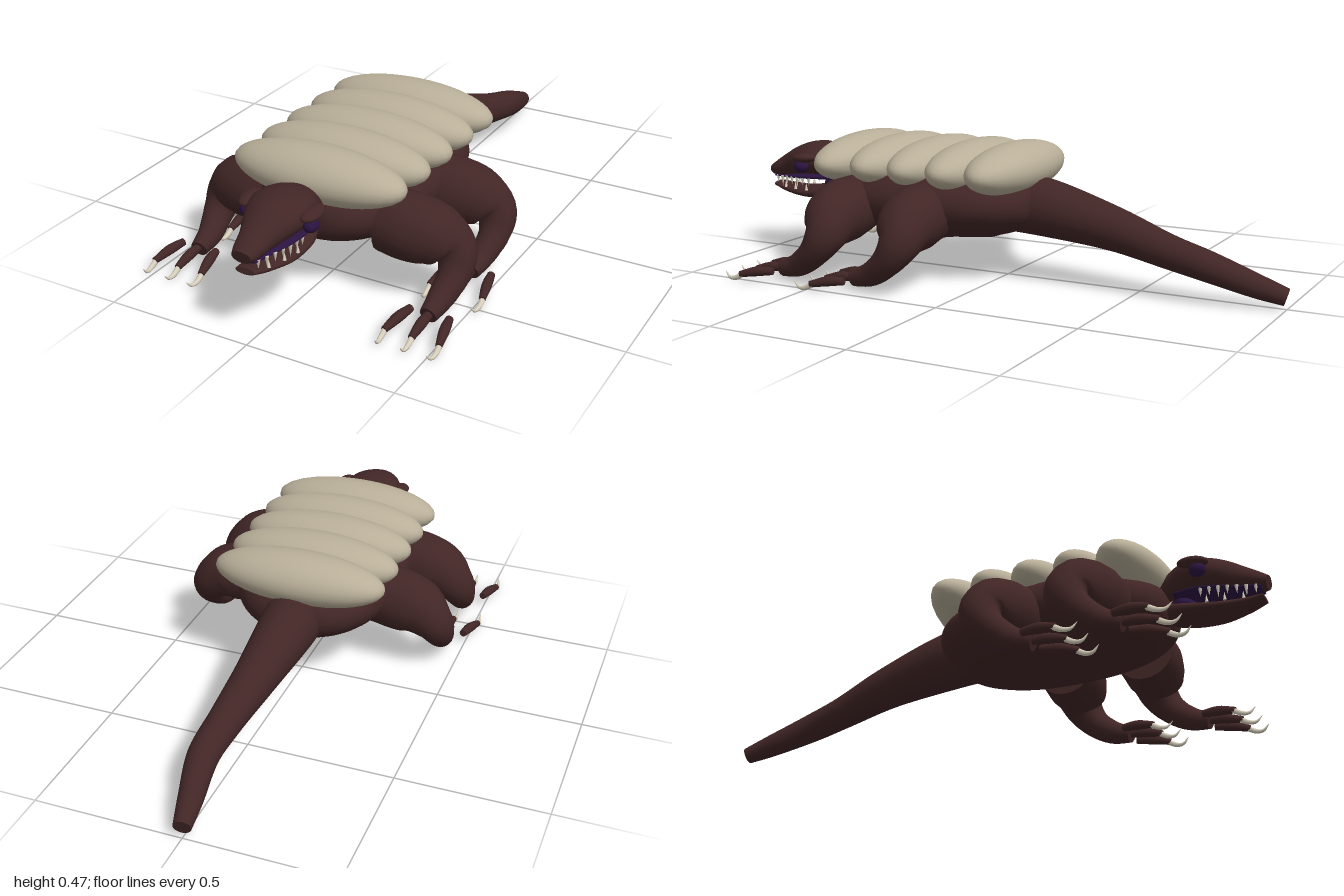
import * as THREE from 'three';

const mat = (name, color) => {
  const m = new THREE.MeshStandardMaterial({ color });
  m.name = name;
  return m;
};

// Smooth tube through rows of [x, y, z, rx, ry], closed at both ends
function sweep(rows, steps = 20, sides = 16, up = new THREE.Vector3(0, 1, 0)) {
  const path = new THREE.CatmullRomCurve3(rows.map(r => new THREE.Vector3(r[0], r[1], r[2])), false, 'catmullrom');
  const radii = new THREE.CatmullRomCurve3(rows.map(r => new THREE.Vector3(r[3], r[4] ?? r[3], 0)), false, 'catmullrom');
  const pos = [], index = [];
  for (let i = 0; i <= steps; i++) {
    const t = i / steps;
    const c = path.getPoint(t), r = radii.getPoint(t), T = path.getTangent(t);
    const S = new THREE.Vector3().crossVectors(up, T).normalize();
    const N = new THREE.Vector3().crossVectors(T, S);
    for (let j = 0; j < sides; j++) {
      const a = (j / sides) * Math.PI * 2;
      const p = c.clone()
        .addScaledVector(S, Math.cos(a) * Math.max(r.x, 0))
        .addScaledVector(N, Math.sin(a) * Math.max(r.y, 0));
      pos.push(p.x, p.y, p.z);
    }
  }
  for (let i = 0; i < steps; i++) {
    for (let j = 0; j < sides; j++) {
      const k = (j + 1) % sides;
      const a = i * sides + j, b = i * sides + k, c = b + sides, d = a + sides;
      index.push(a, b, c, a, c, d);
    }
  }
  // End caps with their own vertices so the rims stay sharp
  for (const end of [0, steps]) {
    const first = pos.length / 3;
    const c = path.getPoint(end / steps);
    pos.push(...pos.slice(end * sides * 3, (end + 1) * sides * 3), c.x, c.y, c.z);
    for (let j = 0; j < sides; j++) {
      const a = first + j, b = first + (j + 1) % sides;
      if (end) index.push(first + sides, a, b);
      else index.push(first + sides, b, a);
    }
  }
  const g = new THREE.BufferGeometry();
  g.setAttribute('position', new THREE.Float32BufferAttribute(pos, 3));
  g.setIndex(index);
  g.computeVertexNormals();
  return g;
}

export function createModel() {
  const hide = mat('dark brown hide', 0x422626);
  const plate = mat('bone shell', 0xb9af99);
  const ivory = mat('ivory', 0xd8d0bd);
  const purple = mat('deep purple', 0x2b1440);

  const model = new THREE.Group();
  model.name = 'armouredReptile';
  const add = (parent, name, geometry, material) => {
    const m = new THREE.Mesh(geometry, material);
    m.name = name;
    parent.add(m);
    return m;
  };
  const ball = (parent, name, material, p, r) => {
    const m = add(parent, name, new THREE.SphereGeometry(1, 32, 20), material);
    m.position.set(...p);
    m.scale.set(...r);
    return m;
  };

  // Blunt-ended barrel body
  const bodyRows = [];
  for (let i = 0; i <= 14; i++) {
    const a = (i / 14 - 0.5) * Math.PI;
    const s = Math.sin(a), c = Math.pow(Math.max(Math.cos(a), 0), 0.75);
    bodyRows.push([0, 0.275, 0.27 + 0.41 * Math.sign(s) * Math.pow(Math.abs(s), 0.85), 0.285 * c, 0.145 * c]);
  }
  add(model, 'body', sweep(bodyRows, 42, 36), hide);

  // Five overlapping back plates
  for (let i = 0; i < 5; i++) {
    ball(model, 'backPlate', plate, [0, 0.389, -0.03 + i * 0.151], [0.306, 0.088, 0.115]);
  }

  // Tail, swaying to one side and drooping to the ground
  add(model, 'tail', sweep([
    [0, 0.045, -0.998, 0.029], [0.016, 0.075, -0.9, 0.04], [0.04, 0.125, -0.75, 0.051],
    [0.03, 0.16, -0.6, 0.058], [0.008, 0.21, -0.4, 0.075], [-0.005, 0.255, -0.15, 0.1],
    [-0.005, 0.27, 0.02, 0.105],
  ], 36, 20), hide);

  // Head
  const head = new THREE.Group();
  head.name = 'head';
  model.add(head);
  add(head, 'skull', sweep([
    [0, 0.335, 0.64, 0.06, 0.045], [0, 0.345, 0.7, 0.082, 0.058], [0, 0.359, 0.75, 0.104, 0.062],
    [0, 0.36, 0.8, 0.106, 0.063], [0, 0.346, 0.86, 0.085, 0.058], [0, 0.326, 0.92, 0.058, 0.046],
    [0, 0.31, 0.97, 0.046, 0.033], [0, 0.303, 1, 0.034, 0.022],
  ], 28, 24), hide);
  add(head, 'lowerJaw', sweep([
    [0, 0.262, 0.66, 0.05, 0.035], [0, 0.244, 0.73, 0.076, 0.03], [0, 0.232, 0.83, 0.074, 0.022],
    [0, 0.237, 0.92, 0.05, 0.017], [0, 0.25, 0.985, 0.034, 0.01],
  ], 20, 20), hide);
  add(head, 'mouthLining', sweep([
    [0, 0.3, 0.7, 0.07, 0.014], [0, 0.297, 0.78, 0.086, 0.013], [0, 0.291, 0.86, 0.074, 0.011],
    [0, 0.286, 0.92, 0.052, 0.009], [0, 0.284, 0.98, 0.036, 0.006],
  ], 20, 20), purple);
  ball(head, 'throat', purple, [0, 0.272, 0.72], [0.055, 0.035, 0.04]);

  for (const s of [1, -1]) {
    ball(head, 'eye', purple, [s * 0.112, 0.342, 0.8], [0.023, 0.023, 0.028]);
    const brow = ball(head, 'brow', hide, [s * 0.108, 0.374, 0.785], [0.032, 0.018, 0.052]);
    brow.rotation.x = 0.08;

    // Teeth follow the jaw outline and shrink toward the back
    for (let i = 0; i < 7; i++) {
      const t = i / 6, z = 0.965 - t * 0.17;
      const x = s * (0.034 + 0.042 * Math.sin(t * Math.PI / 2));
      const size = i % 3 === 1 ? 0.04 : 0.03;
      const fang = add(head, 'upperTooth', new THREE.ConeGeometry(0.007, size, 8), ivory);
      fang.position.set(x, 0.287 - size / 2 + t * 0.006, z);
      fang.rotation.x = Math.PI;
      if (i % 2) {
        const tooth = add(head, 'lowerTooth', new THREE.ConeGeometry(0.006, 0.028, 8), ivory);
        tooth.position.set(x * 0.93, 0.258, z - 0.012);
      }
    }
  }

  // Four matching legs with three clawed toes each
  for (const s of [1, -1]) {
    for (const [name, dz] of [['frontLeg', 0], ['hindLeg', -0.293]]) {
      const leg = new THREE.Group();
      leg.name = name;
      leg.position.z = dz;
      model.add(leg);
      add(leg, 'limb', sweep([
        [s * 0.2, 0.245, 0.5, 0.105], [s * 0.28, 0.237, 0.498, 0.11], [s * 0.365, 0.222, 0.485, 0.1],
        [s * 0.425, 0.18, 0.475, 0.072], [s * 0.44, 0.122, 0.51, 0.053],
        [s * 0.43, 0.068, 0.58, 0.042], [s * 0.425, 0.044, 0.655, 0.029],
      ], 30, 18, new THREE.Vector3(s, 1, -1).normalize()), hide);
      for (const k of [-1, 0, 1]) {
        const x = d => s * (0.428 + k * d);
        add(leg, 'toe', sweep([
          [x(0.066), 0.048, 0.648, 0.013], [x(0.078), 0.044, 0.705, 0.017], [x(0.092), 0.03, 0.768, 0.011],
        ], 10, 10), hide);
        add(leg, 'claw', sweep([
          [x(0.091), 0.031, 0.758, 0.01], [x(0.092), 0.015, 0.788, 0.0085],
          [x(0.089), 0.014, 0.815, 0.0055], [x(0.085), 0.034, 0.836, 0.0008],
        ], 12, 8), ivory);
      }
    }
  }
  return model;
}
